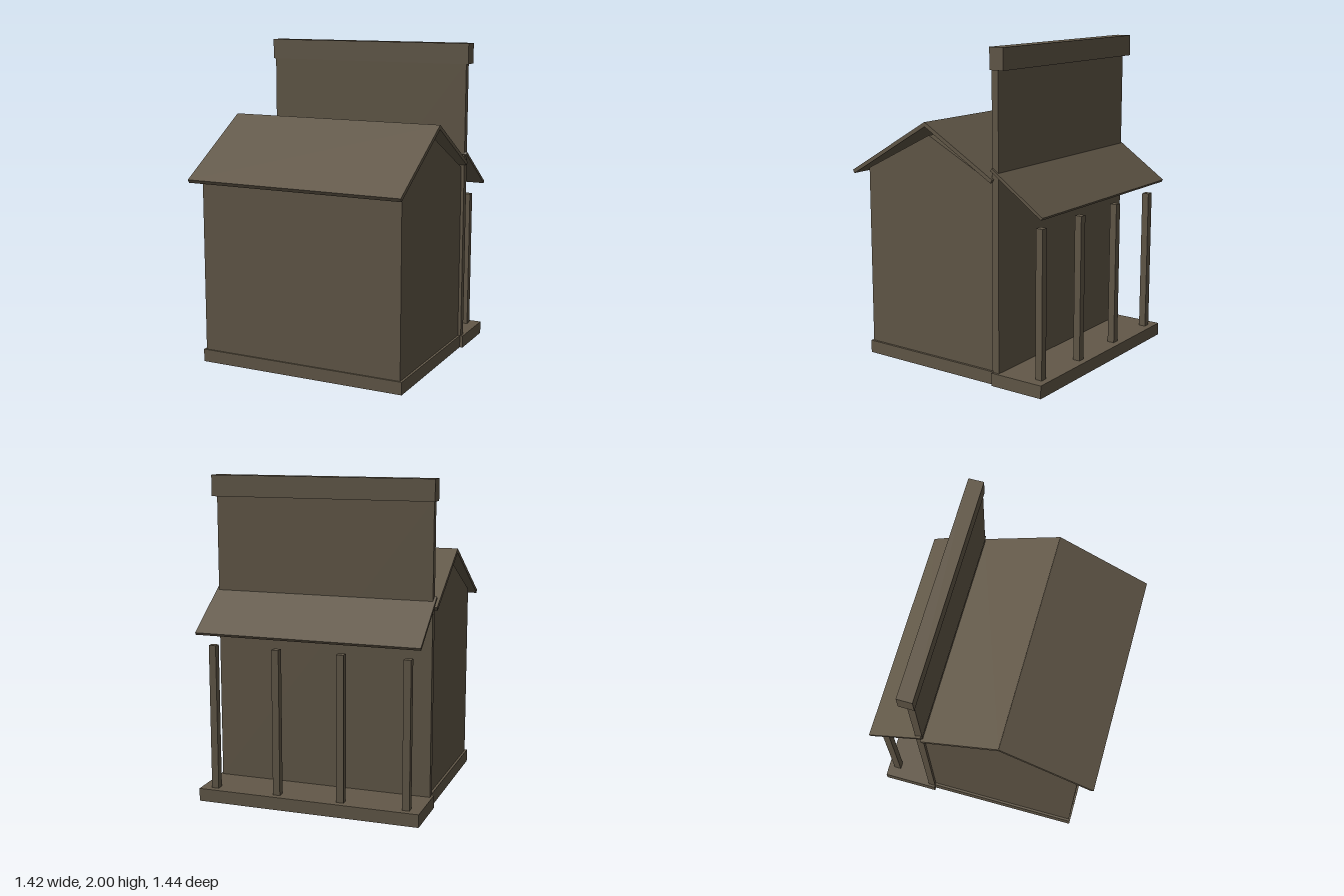
import * as THREE from 'three';

export function createModel() {
  const model = new THREE.Group();
  model.name = 'storeBuilding';
  const wood = new THREE.MeshStandardMaterial({ color: 0x625848 });
  wood.name = 'weatheredWood';

  function add(name, geometry) {
    const mesh = new THREE.Mesh(geometry, wood);
    mesh.name = name;
    model.add(mesh);
    return mesh;
  }

  // Box centred on x, given half width and y / z ranges
  function block(name, halfW, y0, y1, z0, z1, x = 0) {
    const mesh = add(name, new THREE.BoxGeometry(halfW * 2, y1 - y0, z1 - z0));
    mesh.position.set(x, (y0 + y1) / 2, (z0 + z1) / 2);
    return mesh;
  }

  // Sloping roof board between two (z, y) points on its centre line
  function slab(name, halfW, thick, [z0, y0], [z1, y1]) {
    const length = Math.hypot(z1 - z0, y1 - y0);
    const mesh = add(name, new THREE.BoxGeometry(halfW * 2, thick, length));
    mesh.position.set(0, (y0 + y1) / 2, (z0 + z1) / 2);
    mesh.rotation.x = -Math.atan2(y1 - y0, z1 - z0);
    return mesh;
  }

  // Foundation and porch deck
  block('foundation', 0.685, 0, 0.08, -0.355, 0.625);
  block('porchDeck', 0.705, 0, 0.08, -0.71, -0.355);

  // Main body with gabled ends, extruded along x
  const gable = new THREE.Shape([
    [-0.615, 0.08], [0.355, 0.08], [0.355, 1.21], [-0.13, 1.455], [-0.615, 1.21],
  ].map(([x, y]) => new THREE.Vector2(x, y)));
  const bodyGeometry = new THREE.ExtrudeGeometry(gable, { depth: 1.34, bevelEnabled: false });
  bodyGeometry.translate(0, 0, -0.67);
  bodyGeometry.rotateY(Math.PI / 2);
  add('houseBody', bodyGeometry);

  // Tall false wall and its cap
  block('falseWall', 0.69, 0.08, 1.88, -0.4, -0.355);
  block('falseWallCap', 0.705, 1.87, 2, -0.445, -0.35);

  // Gable roof and lean-to porch roof
  slab('roofFrontSlope', 0.708, 0.024, [0.125, 1.528], [0.716, 1.18]);
  slab('roofBackSlope', 0.708, 0.024, [0.135, 1.528], [-0.362, 1.235]);
  slab('porchRoof', 0.705, 0.018, [-0.358, 1.303], [-0.71, 1.06]);

  // Porch posts
  for (let i = 0; i < 4; i++) {
    block('porchPost', 0.0225, 0.08, 0.985, -0.67, -0.625, -0.615 + i * 0.41);
  }
  return model;
}
